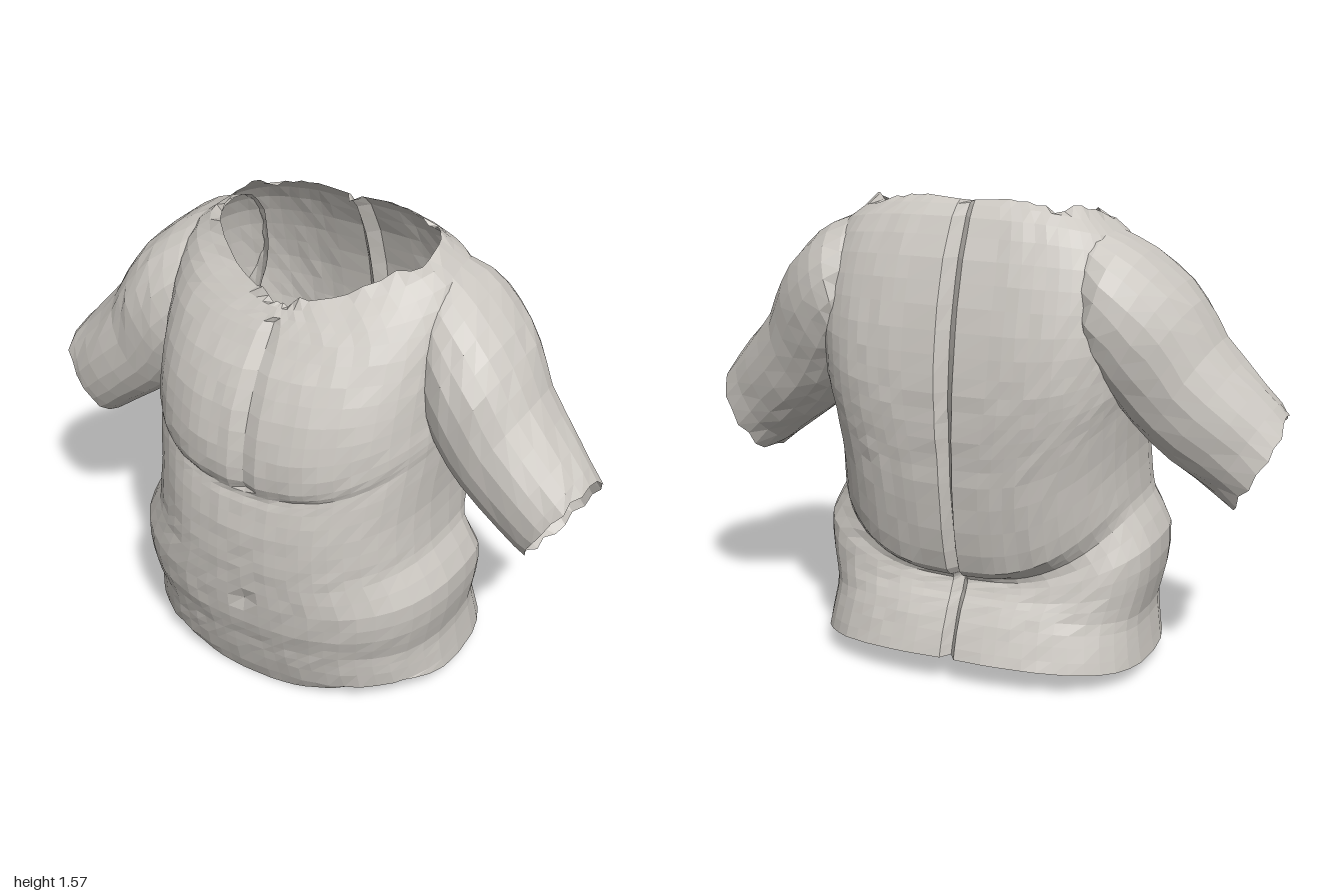
import * as THREE from 'three';

const shell = new THREE.MeshStandardMaterial({ color: 0xcbc7c1, flatShading: true, side: THREE.DoubleSide });
shell.name = 'pale grey';

// repeatable small irregularity, range -1..1
const wobble = (i, j) => {
  const s = Math.sin(i * 12.9898 + j * 78.233) * 43758.5453;
  return (s - Math.floor(s)) * 2 - 1;
};

// signed power, for superellipse sections
const pw = (v, e) => Math.sign(v) * Math.abs(v) ** e;

// skin closed rings of points into an open tube
function loft(name, rings, flip = false) {
  const n = rings[0].length, index = [];
  for (let r = 0; r < rings.length - 1; r++) {
    for (let i = 0; i < n; i++) {
      const a = r * n + i, b = r * n + (i + 1) % n, c = b + n, d = a + n;
      if (flip) index.push(a, c, b, a, d, c);
      else index.push(a, b, c, a, c, d);
    }
  }
  const g = new THREE.BufferGeometry();
  g.setAttribute('position', new THREE.Float32BufferAttribute(rings.flat(2), 3));
  g.setIndex(index);
  g.computeVertexNormals();
  const mesh = new THREE.Mesh(g, shell);
  mesh.name = name;
  return mesh;
}

// smooth in-between rows of a table
function refine(rows, steps) {
  const out = [];
  for (let r = 0; r < rows.length - 1; r++) {
    const p = [-1, 0, 1, 2].map(k => rows[Math.min(rows.length - 1, Math.max(0, r + k))]);
    for (let s = 0; s < steps; s++) {
      const t = s / steps;
      out.push(p[1].map((v, k) => {
        const m0 = (p[2][k] - p[0][k]) / 2, m1 = (p[3][k] - v) / 2, d = p[2][k] - v;
        return v + t * (m0 + t * (3 * d - 2 * m0 - m1 + t * (m0 + m1 - 2 * d)));
      }));
    }
  }
  out.push(rows[rows.length - 1]);
  return out;
}

// torso rows: half width, front y z, side y z, back y z, front roundness
const torsoRows = [
  [.57, 0, .375, .05, -.03, .09, -.45, .8],
  [.555, .12, .41, .14, -.03, .17, -.42, .8],
  [.55, .2, .425, .21, -.03, .24, -.385, .8],
  [.575, .28, .445, .32, -.02, .28, -.355, .8],
  [.58, .38, .455, .45, -.02, .315, -.335, .8],
  [.52, .48, .46, .56, -.02, .34, -.335, .8],
  [.508, .56, .46, .62, -.02, .375, -.39, .8],
  [.5, .66, .455, .74, -.03, .52, -.425, .8],
  [.51, .76, .435, .88, -.05, .68, -.445, .8],
  [.515, .8, .425, .95, -.07, .78, -.452, .8],
  [.52, .84, .442, 1.0, -.09, .88, -.456, .8],
  [.515, .95, .44, 1.06, -.1, .98, -.456, .8],
  [.515, 1.08, .405, 1.14, -.11, 1.1, -.445, .8],
  [.515, 1.2, .345, 1.24, -.11, 1.25, -.415, .83],
  [.505, 1.3, .27, 1.36, -.1, 1.39, -.37, .88],
  [.46, 1.345, .235, 1.46, -.08, 1.51, -.31, 1.05],
  [.375, 1.385, .2, 1.52, -.06, 1.565, -.255, 1.25],
];

function torso() {
  const N = 56, rows = refine(torsoRows, 2), last = rows.length - 1;
  const rings = rows.map(([w, yF, zF, yS, zS, yB, zB, e], r) => {
    // the back grows broader towards the shoulder blades
    const backE = .72 - .14 * THREE.MathUtils.smoothstep(yB, .6, 1.1);
    const ring = [];
    for (let i = 0; i < N; i++) {
      const t = i / N * Math.PI * 2, a = t - .25 * Math.sin(2 * t);
      const s = Math.sin(a), c = Math.cos(a), front = c > 0, half = Math.min(i, N - i);
      const k = front ? e : backE;
      const j = wobble(r, half);
      let x = w * pw(s, k);
      let y = yS + ((front ? yF : yB) - yS) * c * c;
      let z = zS + (front ? zF - zS : zS - zB) * pw(c, k) + j * .003;
      // wavy hem, ragged collar
      if (r === 0 && front) y += .055 * Math.sin(2 * a) ** 2;
      if (r === last) y += j * .02;
      // narrow spine groove, breastbone groove and navel
      if (half === N / 2) z += .04;
      if (half === N / 2 - 1) x *= .35;
      if (half === 0 && y > .8 && y < 1.34) z -= .015;
      if (half === 0 && Math.abs(y - .36) < .03) z -= .015;
      ring.push([x, y, z]);
    }
    return ring;
  });
  return loft('torso', rings);
}

// sleeve rows from cuff to shoulder: top x y, bottom x y, front z, back z
const sleeveRows = [
  [.985, .9, .82, .61, .135, -.19],
  [.9, 1.0, .71, .69, .15, -.235],
  [.775, 1.14, .57, .8, .155, -.29],
  [.71, 1.265, .48, .91, .165, -.335],
  [.61, 1.375, .43, .99, .15, -.37],
  [.5, 1.45, .39, 1.06, .1, -.375],
  [.39, 1.495, .35, 1.12, .02, -.31],
];

function sleeve(name, side) {
  const N = 22;
  const rings = refine(sleeveRows, 2).map(([tx, ty, bx, by, zf, zb], r) => {
    const ring = [];
    for (let i = 0; i < N; i++) {
      const a = i / N * Math.PI * 2, s = Math.sin(a);
      const u = (pw(Math.cos(a), .9) + 1) / 2;
      const j = wobble(r + 40, i) * .003;
      // cuff cut back in front, longer behind, slightly ragged
      const rag = r === 0 ? wobble(i, 7) * .008 + .02 * s : 0;
      ring.push([
        side * (bx + (tx - bx) * u + j + rag),
        by + (ty - by) * u + j - rag,
        (zf + zb) / 2 - (zf - zb) / 2 * pw(s, .9) + j,
      ]);
    }
    return ring;
  });
  return loft(name, rings, side < 0);
}

export function createModel() {
  const model = new THREE.Group();
  model.name = 'torsoShell';
  model.add(torso(), sleeve('leftArm', 1), sleeve('rightArm', -1));
  return model;
}
